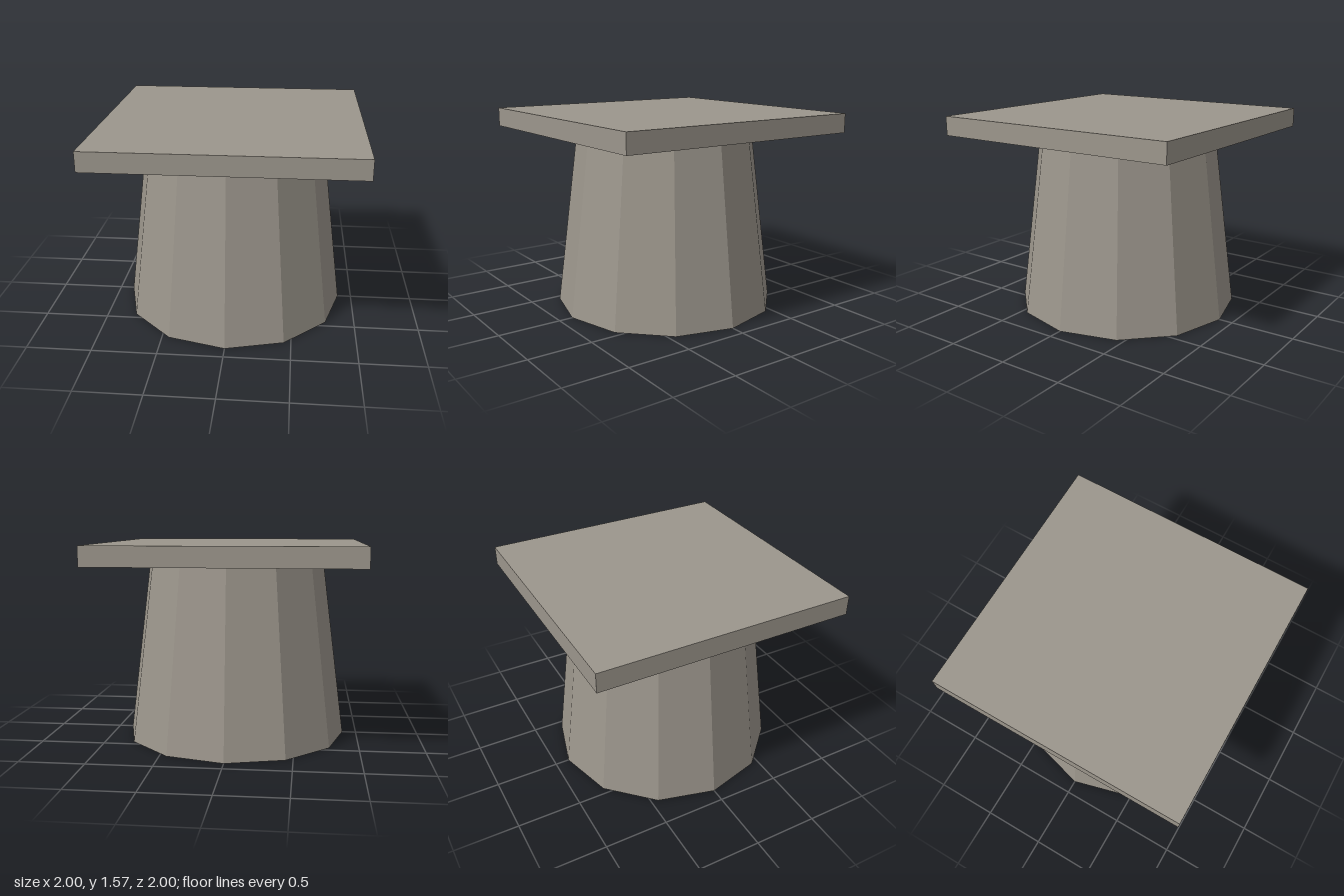
import * as THREE from 'three';

export function createModel() {
  const group = new THREE.Group();
  const stone = new THREE.MeshStandardMaterial({ color: 0x9c968c });
  stone.name = 'warm grey stone';

  const slabHeight = 0.15;
  const columnHeight = 1.42;

  // Tapered twelve-sided column, faceted
  const columnGeometry = new THREE.CylinderGeometry(0.708, 0.89, columnHeight, 12).toNonIndexed();
  columnGeometry.computeVertexNormals();
  const column = new THREE.Mesh(columnGeometry, stone);
  column.name = 'column';
  column.position.y = columnHeight / 2;
  group.add(column);

  // Square slab on top
  const slab = new THREE.Mesh(new THREE.BoxGeometry(2, slabHeight, 2), stone);
  slab.name = 'topSlab';
  slab.position.y = columnHeight + slabHeight / 2;
  group.add(slab);

  return group;
}
